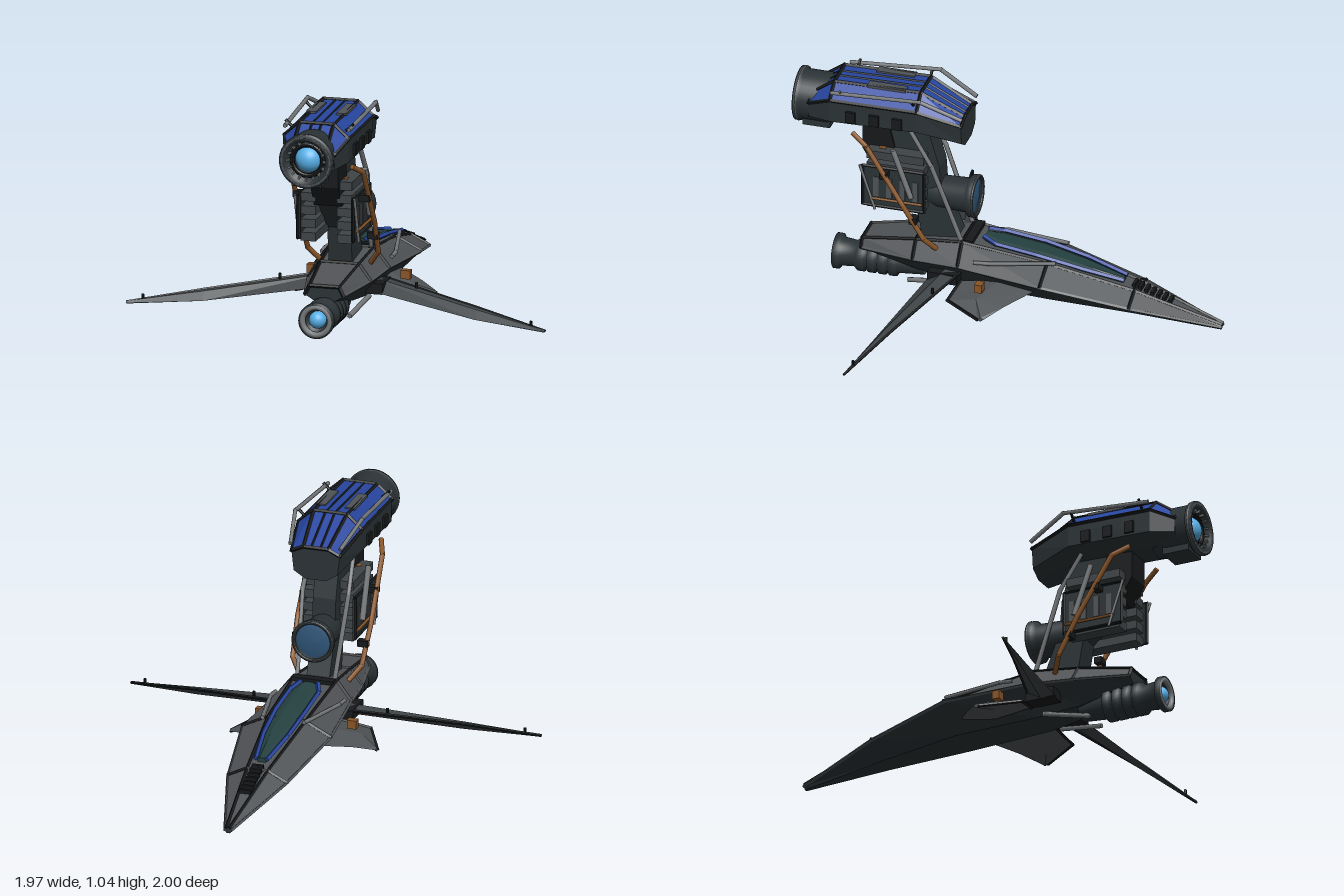
import * as THREE from 'three';

const mat = (color, extra = {}) => new THREE.MeshStandardMaterial({ color, ...extra });
const flat = { flatShading: true, side: THREE.DoubleSide };
const DARK = mat(0x2b3336, flat), BLACK = mat(0x17191b, flat), DECK = mat(0x505356, flat);
const WING = mat(0x3f4447, flat), LIGHT = mat(0x76797b), BLUE = mat(0x2846a0, flat);
const COPPER = mat(0x8a5628), GLASS = mat(0x24403f, flat), LENS = mat(0x58b0e8), DIM_LENS = mat(0x2f5578);
const METAL = mat(0x2b3336, { side: THREE.DoubleSide });

const V = (x, y, z) => new THREE.Vector3(x, y, z);

function add(parent, name, geometry, material, x = 0, y = 0, z = 0) {
  const m = new THREE.Mesh(geometry, material);
  m.name = name;
  m.position.set(x, y, z);
  parent.add(m);
  return m;
}
const box = (p, name, mt, w, h, d, x, y, z) => add(p, name, new THREE.BoxGeometry(w, h, d), mt, x, y, z);

// Skin joining a list of cross-sections (each an array of [x, y, z])
function loft(rings, closed = true) {
  const n = rings[0].length, pos = rings.flat(2), idx = [];
  for (let i = 0; i < rings.length - 1; i++)
    for (let j = 0; j < (closed ? n : n - 1); j++) {
      const a = i * n + j, b = i * n + (j + 1) % n;
      idx.push(a, b, b + n, a, b + n, a + n);
    }
  const last = (rings.length - 1) * n;
  if (closed) for (let j = 1; j < n - 1; j++) idx.push(0, j + 1, j, last, last + j, last + j + 1);
  const g = new THREE.BufferGeometry();
  g.setAttribute('position', new THREE.Float32BufferAttribute(pos, 3));
  g.setIndex(idx);
  g.computeVertexNormals();
  return g;
}
// Mirrored cross-section from its right half, listed bottom to top
const ring = (z, half, dy = 0, sx = 1) => [
  ...half.map(([x, y]) => [x * sx, y + dy, z]),
  ...half.slice().reverse().map(([x, y]) => [-x * sx, y + dy, z])];

// Straight bars along a list of points
function bars(p, name, pts, r, mt, sides = 6) {
  const g = new THREE.Group();
  g.name = name;
  p.add(g);
  for (let i = 0; i < pts.length - 1; i++) {
    const a = V(...pts[i]), b = V(...pts[i + 1]), d = b.clone().sub(a);
    const m = add(g, name, new THREE.CylinderGeometry(r, r, d.length() + r, sides), mt);
    m.position.copy(a).addScaledVector(d, 0.5);
    m.quaternion.setFromUnitVectors(V(0, 1, 0), d.normalize());
  }
}
// Turned part along z, profile given as [radius, z]
function turned(p, name, profile, mt, y, seg = 32) {
  const g = new THREE.LatheGeometry(profile.map(([r, z]) => new THREE.Vector2(r, z)), seg);
  return add(p, name, g.rotateX(Math.PI / 2), mt, 0, y, 0);
}
// Torus around the z axis
const hoop = (p, name, r, t, mt, y, z) => add(p, name, new THREE.TorusGeometry(r, t, 10, 32), mt, 0, y, z);

export function createModel() {
  const root = new THREE.Group();
  root.name = 'spacecraft';

  // Hull: z, then half section from keel to deck
  const hull = [
    [-1, [[0.008, 0.005], [0.015, 0.02], [0.008, 0.03]]],
    [-0.6, [[0.05, 0.045], [0.14, 0.115], [0.05, 0.16]]],
    [-0.2, [[0.09, 0.075], [0.21, 0.195], [0.09, 0.255]]],
    [0.2, [[0.08, 0.085], [0.17, 0.215], [0.1, 0.305]]],
    [0.42, [[0.06, 0.11], [0.145, 0.205], [0.09, 0.28]]],
    [0.68, [[0.05, 0.17], [0.09, 0.195], [0.07, 0.235]]]];
  add(root, 'hull', loft(hull.map(([z, h]) => ring(z, h))), DARK);
  add(root, 'deck', loft(hull.map(([z, h]) => ring(z, h.slice(1), 0.003, 1.01)), false), DECK);
  for (const [z, h] of hull.slice(1))
    bars(root, 'deckRib', ring(z, h.slice(1), 0.003), 0.009, BLACK, 4);
  for (const s of [1, -1]) {
    bars(root, 'deckSeam', hull.map(([z, h]) => [s * h[2][0], h[2][1] + 0.003, z]), 0.008, BLACK, 4);
    bars(root, 'hullEdge', hull.map(([z, h]) => [s * h[1][0], h[1][1], z]), 0.008, DECK, 4);
    bars(root, 'deckRail', [[s * 0.1, 0.27, -0.24], [s * 0.165, 0.255, 0.06], [s * 0.165, 0.25, 0.12]], 0.01, LIGHT);
    box(root, 'hullLamp', COPPER, 0.045, 0.04, 0.035, s * 0.22, 0.16, 0.08);
  }
  box(root, 'deckBulkhead', BLACK, 0.2, 0.03, 0.04, 0, 0.305, 0.17);
  for (let i = 0; i < 7; i++)
    box(root, 'noseVent', BLACK, 0.055, 0.025, 0.016, 0, 0.113 + i * 0.0098, -0.76 + i * 0.028);

  // Canopy: z, half width, ridge height
  const canopy = [[-0.54, 0.02, 0.2], [-0.35, 0.05, 0.245], [-0.15, 0.062, 0.285], [0.05, 0.06, 0.31], [0.11, 0.035, 0.325]];
  const canopyY = (y) => y - 0.012;
  add(root, 'canopyGlass', loft(canopy.map(([z, w, y]) =>
    ring(z, [[w, y - 0.08], [w, canopyY(y)], [w * 0.5, y - 0.002]]))), GLASS);
  for (const s of [1, -1])
    bars(root, 'canopyFrame', canopy.map(([z, w, y]) => [s * (w + 0.008), y - 0.004, z]), 0.011, BLUE, 4);

  // Wings and stub fins: span x, leading z, trailing z, leading y, trailing y, thickness
  const panel = (sections) => loft(sections.map(([x, z0, z1, y0, y1, t]) => {
    const zm = (z0 + z1) / 2, ym = (y0 + y1) / 2;
    return [[x, ym + t, zm], [x, y1, z1], [x, ym - t, zm], [x, y0, z0]];
  }));
  const wing = [[0.1, 0.18, 0.33, 0.18, 0.14, 0.025], [0.64, 0.37, 0.44, 0.105, 0.065, 0.018], [0.98, 0.484, 0.492, 0.05, 0.045, 0.006]];
  const fin = [[0.12, -0.16, 0.2, 0.13, 0.12, 0.025], [0.26, -0.05, 0.22, 0.1, 0.09, 0.022], [0.35, 0.02, 0.05, 0.07, 0.065, 0.01]];
  for (const s of [1, -1]) {
    const side = new THREE.Group();
    side.name = s > 0 ? 'leftWingGroup' : 'rightWingGroup';
    side.scale.x = s;
    root.add(side);
    add(side, 'wing', panel(wing), WING);
    add(side, 'stubFin', panel(fin), DECK);
    bars(side, 'wingEdge', wing.map(([x, z, , y]) => [x, y, z]), 0.007, BLACK, 4);
    bars(side, 'finEdge', fin.map(([x, , z, , y]) => [x, y, z]), 0.008, BLACK, 4);
    for (const [x, y, z] of [[0.91, 0.07, 0.465], [0.32, 0.16, 0.27]])
      add(side, 'wingStud', new THREE.CylinderGeometry(0.007, 0.007, 0.03, 8), BLACK, x, y, z);
    box(side, 'wingRoot', BLACK, 0.08, 0.05, 0.14, 0.14, 0.15, 0.27);
    bars(side, 'bellyStrut', [[0.06, 0.05, 0.46], [0.09, 0.09, 0.25]], 0.012, LIGHT);
  }

  // Lower tail engine
  const tail = [[0.05, 0.4]];
  for (let i = 0; i < 4; i++) tail.push([0.06, 0.52 + i * 0.05], [0.077, 0.53 + i * 0.05], [0.077, 0.56 + i * 0.05]);
  turned(root, 'tailEngine', [...tail, [0.06, 0.73], [0.066, 0.79], [0.082, 0.8], [0.082, 0.825], [0.058, 0.825], [0.045, 0.78], [0, 0.78]], METAL, 0.11);
  hoop(root, 'tailEngineRing', 0.065, 0.014, LIGHT, 0.11, 0.815);
  add(root, 'tailEngineLens', new THREE.SphereGeometry(0.04, 24, 16), LENS, 0, 0.11, 0.79);

  // Pylon and its lower fairing
  const slab = (name, pts, w, mt) => {
    const g = new THREE.ExtrudeGeometry(new THREE.Shape(pts.map(p => new THREE.Vector2(...p))),
      { depth: w, bevelEnabled: false });
    add(root, name, g.translate(0, 0, -w / 2).rotateY(-Math.PI / 2), mt);
  };
  slab('pylon', [[0.67, 0.86], [0.38, 0.86], [0.32, 0.65], [0.31, 0.5], [0.22, 0.27], [0.4, 0.27], [0.43, 0.45], [0.6, 0.6], [0.66, 0.72]], 0.11, DARK);
  slab('pylonSpine', [[0.68, 0.86], [0.56, 0.86], [0.5, 0.6], [0.62, 0.6], [0.68, 0.7]], 0.13, BLACK);
  for (const s of [1, -1]) {
    for (let i = 0; i < 5; i++) box(root, 'coolingRib', WING, 0.07, 0.04, 0.27, s * 0.085, 0.455 + i * 0.062, 0.51);
    box(root, 'radiatorPlate', DARK, 0.012, 0.2, 0.29, s * 0.125, 0.545, 0.51);
    for (let i = 0; i < 4; i++) box(root, 'radiatorSlat', DECK, 0.016, 0.1, 0.025, s * 0.128, 0.55, 0.41 + i * 0.062);
    bars(root, 'radiatorFrame', [[s * 0.13, 0.45, 0.37], [s * 0.13, 0.65, 0.37], [s * 0.13, 0.65, 0.66], [s * 0.13, 0.45, 0.66], [s * 0.13, 0.45, 0.37]], 0.007, BLACK, 4);
    bars(root, 'radiatorBrace', [[s * 0.14, 0.65, 0.67], [s * 0.14, 0.44, 0.6]], 0.007, LIGHT);
    bars(root, 'radiatorPipe', [[s * 0.138, 0.49, 0.38], [s * 0.138, 0.49, 0.62]], 0.007, COPPER);
    box(root, 'pylonValve', COPPER, 0.03, 0.03, 0.03, s * 0.07, 0.71, 0.58);
    bars(root, 'innerStrut', [[s * 0.145, 0.75, 0.51], [s * 0.145, 0.53, 0.43]], 0.014, LIGHT);
    bars(root, 'frontStrut', [[s * 0.1, 0.84, 0.44], [s * 0.11, 0.68, 0.34], [s * 0.09, 0.32, 0.21]], 0.011, LIGHT);
    bars(root, 'copperPipe', [[s * 0.14, 0.81, 0.7], [s * 0.17, 0.77, 0.63], [s * 0.175, 0.5, 0.46], [s * 0.165, 0.33, 0.36], [s * 0.12, 0.27, 0.32]], 0.012, COPPER, 8);
    for (const [y, z] of [[0.63, 0.55], [0.42, 0.41]]) box(root, 'pipeClamp', BLACK, 0.05, 0.03, 0.035, s * 0.155, y, z);
  }

  // Intake on the leading side of the pylon
  turned(root, 'intake', [[0.05, 0.42], [0.075, 0.33], [0.08, 0.2], [0.098, 0.185], [0.1, 0.155], [0.085, 0.155], [0.08, 0.17], [0, 0.17]], METAL, 0.5);
  turned(root, 'intakeLens', [[0.08, 0.168], [0.05, 0.16], [0, 0.157]], Object.assign(DIM_LENS, { side: THREE.DoubleSide }), 0.5);
  hoop(root, 'intakeRing', 0.092, 0.009, WING, 0.5, 0.16);

  // Upper engine pod: z, then half section from bottom to top
  const pod = [
    [0.2, [[0.05, 0.785], [0.105, 0.82], [0.115, 0.91], [0.06, 0.935]]],
    [0.4, [[0.07, 0.83], [0.15, 0.87], [0.152, 0.97], [0.08, 1.035]]],
    [0.81, [[0.07, 0.82], [0.15, 0.86], [0.15, 0.965], [0.08, 1.028]]],
    [0.92, [[0.06, 0.82], [0.115, 0.85], [0.115, 0.915], [0.08, 0.95]]]];
  add(root, 'podBody', loft(pod.map(([z, h]) => ring(z, h))), DARK);
  add(root, 'podCover', loft(pod.map(([z, h]) => ring(z, h.slice(2), 0.004, 1.02)), false), BLUE);
  for (const [z, h] of pod) bars(root, 'coverRib', ring(z, h.slice(2), 0.005), 0.009, BLACK, 4);
  for (const s of [1, -1]) {
    for (const k of [2, 3])
      bars(root, 'coverSeam', pod.map(([z, h]) => [s * h[k][0], h[k][1] + 0.004, z]), 0.009, BLACK, 4);
    bars(root, 'coverCentreSeam', pod.map(([z, h]) => [s * 0.022, h[3][1] + 0.003, z]), 0.006, BLACK, 4);
    box(root, 'coverPlate', DECK, 0.045, 0.012, 0.18, s * 0.07, 1.038, 0.56);
    for (const z of [0.49, 0.6, 0.71]) box(root, 'podPort', BLACK, 0.025, 0.055, 0.045, s * 0.15, 0.9, z);
    bars(root, 'podRail', [[s * 0.15, 1.01, 0.8], [s * 0.16, 1.035, 0.38], [s * 0.12, 0.95, 0.2]], 0.01, LIGHT);
    for (const z of [0.42, 0.76]) bars(root, 'railPost', [[s * 0.12, 0.99, z], [s * 0.157, 1.025, z]], 0.007, BLACK);
  }

  // Main nozzle
  turned(root, 'mainNozzle', [[0.1, 0.78], [0.115, 0.85], [0.115, 0.97], [0.125, 0.975], [0.125, 0.998], [0.095, 0.998], [0.075, 0.95], [0, 0.95]], METAL, 0.9);
  hoop(root, 'nozzleRing', 0.113, 0.014, DECK, 0.9, 0.985);
  hoop(root, 'nozzleInnerRing', 0.072, 0.012, BLACK, 0.9, 0.965);
  add(root, 'nozzleLens', new THREE.SphereGeometry(0.064, 32, 20), LENS, 0, 0.9, 0.93);
  for (let i = 0; i < 16; i++) {
    const a = (i / 16) * Math.PI * 2;
    box(root, 'nozzleVane', LIGHT, 0.024, 0.008, 0.02, Math.cos(a) * 0.09, 0.9 + Math.sin(a) * 0.09, 0.982).rotation.z = a;
  }
  box(root, 'nozzleChin', DARK, 0.13, 0.04, 0.13, 0, 0.795, 0.9);
  return root;
}
